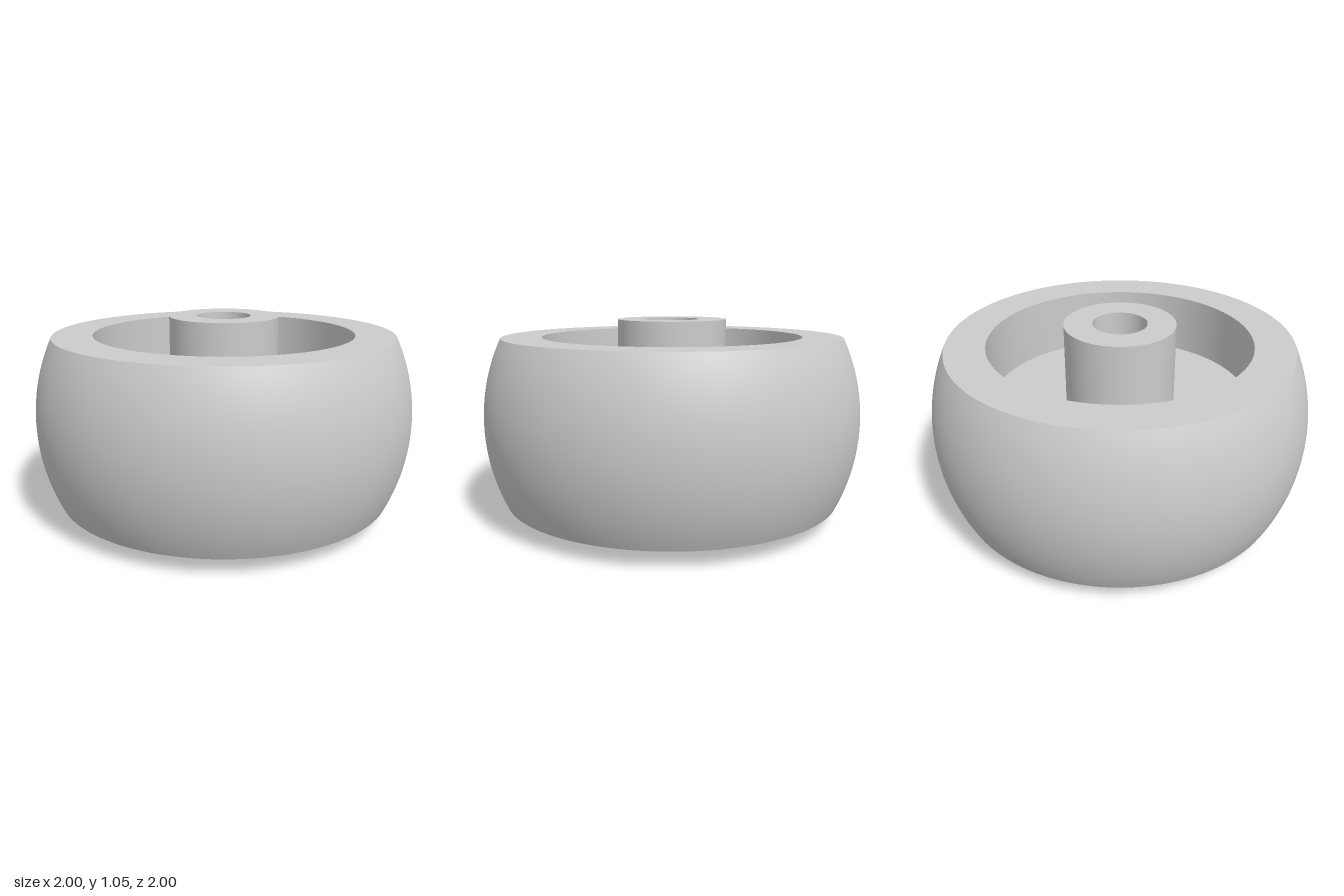
import * as THREE from 'three';
import { toCreasedNormals } from 'three/addons/utils/BufferGeometryUtils.js';

const MID = 0.523;         // height of the wheel's middle plane
const HALF_TREAD = 0.434;  // half width of the tread
const HALF_HUB = 0.523;    // half length of the hub
const HALF_WEB = 0.104;    // half thickness of the web
const R_MAX = 1, R_EDGE = 0.9, R_RECESS = 0.69, R_HUB = 0.29, R_BORE = 0.142;

const material = new THREE.MeshStandardMaterial({ color: 0xcccccc });

// Turned part from [radius, height] pairs, with crisp corners
function turned(name, profile) {
  const points = profile.map(([r, y]) => new THREE.Vector2(r, y));
  const geometry = toCreasedNormals(new THREE.LatheGeometry(points, 128), 0.5);
  const mesh = new THREE.Mesh(geometry, material);
  mesh.name = name;
  mesh.position.y = MID;
  return mesh;
}

// Crowned tread: circular arc through the edges and the widest point
function crown(steps) {
  const sag = R_MAX - R_EDGE;
  const radius = (HALF_TREAD ** 2 + sag ** 2) / (2 * sag);
  const half = Math.asin(HALF_TREAD / radius);
  return Array.from({ length: steps + 1 }, (_, i) => {
    const a = half * (2 * i / steps - 1);
    return [R_MAX - radius + radius * Math.cos(a), radius * Math.sin(a)];
  });
}

export function createModel() {
  const group = new THREE.Group();
  group.name = 'wheel';

  // Rim with crowned tread, recessed on both sides down to the web
  group.add(turned('rimAndWeb', [
    [R_HUB, -HALF_WEB], [R_RECESS, -HALF_WEB], [R_RECESS, -HALF_TREAD],
    ...crown(24),
    [R_RECESS, HALF_TREAD], [R_RECESS, HALF_WEB], [R_HUB, HALF_WEB],
  ]));

  // Hub tube with through bore
  group.add(turned('hub', [
    [R_BORE, -HALF_HUB], [R_HUB, -HALF_HUB], [R_HUB, HALF_HUB],
    [R_BORE, HALF_HUB], [R_BORE, -HALF_HUB],
  ]));

  return group;
}
